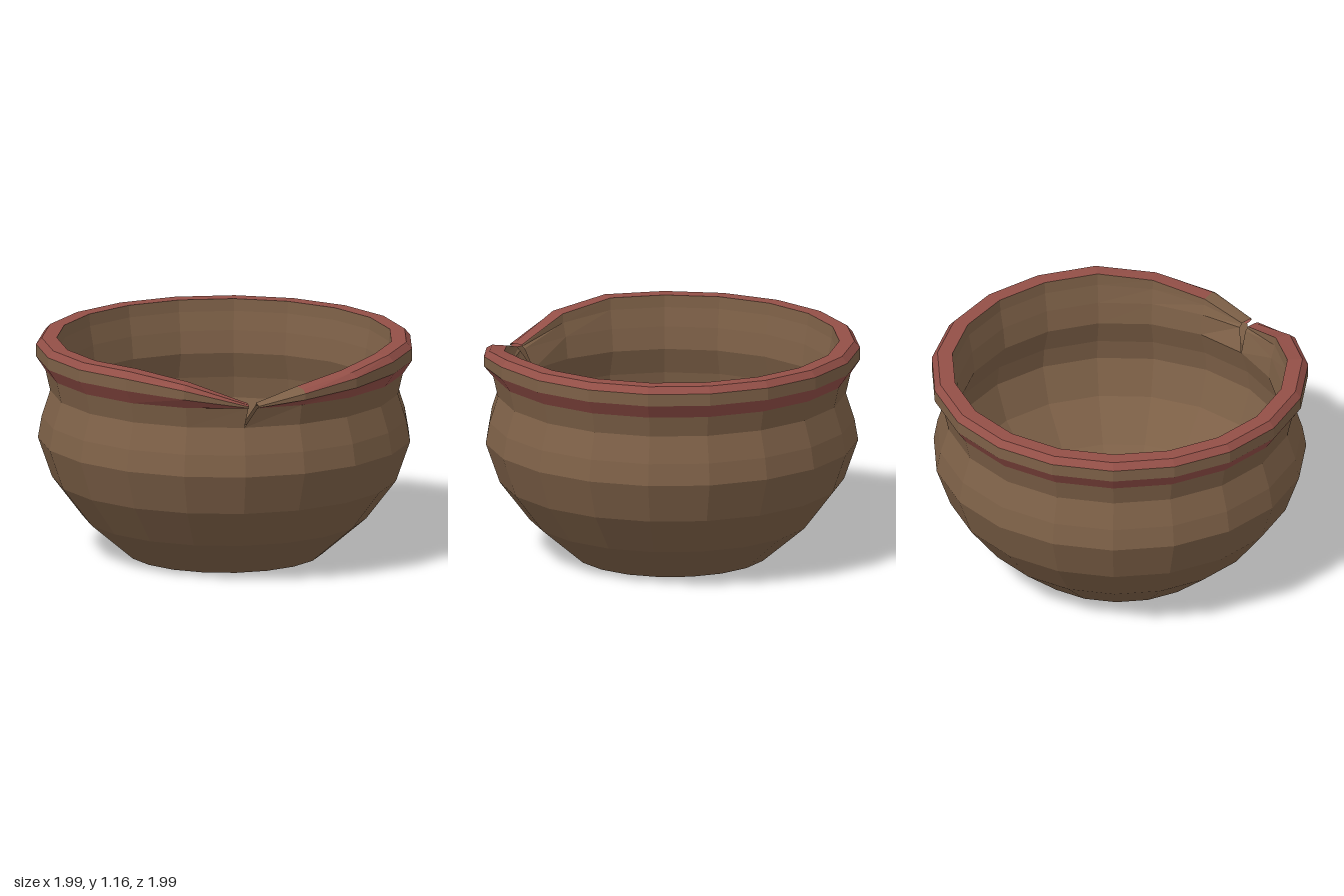
import * as THREE from 'three';

const SIDES = 19;
const STEP = (Math.PI * 2) / SIDES;
// how far the rim has broken down at each side
const CHIP = { 2: 0.3, 3: 1, 4: 0.55, 5: 0.22 };

const clay = new THREE.MeshStandardMaterial({ color: 0x7d6047, flatShading: true, side: THREE.DoubleSide });
clay.name = 'brown clay';
const paint = new THREE.MeshStandardMaterial({ color: 0x934f47, flatShading: true, side: THREE.DoubleSide });
paint.name = 'red paint';

// One point of the pot: a profile radius and height turned to side i.
function point([r, y], i, startsCrack) {
  let a = (i % SIDES) * STEP;
  const f = CHIP[i % SIDES] || 0;
  if (y > 0.95 && f) {
    y += (0.99 + (y - 0.99) * 0.12 - y) * f;
    if (i === 3) {
      r += (0.95 - r) * 0.35;
      a += startsCrack ? 0.07 : 0.02; // the crack opens between its two lips
    }
  }
  return [r * Math.sin(a), y, r * Math.cos(a) - 0.007];
}

// Faceted band through the given profile points, for sides chosen by the filter.
function band(name, profile, material, keep = () => true) {
  const pos = [];
  for (let j = 0; j < profile.length - 1; j++) {
    for (let i = 0; i < SIDES; i++) {
      if (!keep(i)) continue;
      const a = point(profile[j], i, i === 3);
      const b = point(profile[j], i + 1);
      const c = point(profile[j + 1], i + 1);
      const d = point(profile[j + 1], i, i === 3);
      pos.push(...a, ...b, ...c, ...a, ...c, ...d);
    }
  }
  const geo = new THREE.BufferGeometry();
  geo.setAttribute('position', new THREE.Float32BufferAttribute(pos, 3));
  geo.computeVertexNormals();
  const mesh = new THREE.Mesh(geo, material);
  mesh.name = name;
  return mesh;
}

// Flat disc with a corner at the front, matching the wall facets.
function disc(name, r, y, down) {
  const geo = new THREE.CircleGeometry(r, SIDES);
  geo.rotateZ(-Math.PI / 2);
  geo.rotateX(-Math.PI / 2);
  if (down) geo.rotateZ(Math.PI);
  geo.translate(0, y, -0.007);
  const mesh = new THREE.Mesh(geo, clay);
  mesh.name = name;
  return mesh;
}

export function createModel() {
  const pot = new THREE.Group();
  pot.name = 'brokenPot';
  const whole = (i) => i !== 3;
  const broken = (i) => i === 3;

  // outside wall and base
  pot.add(
    disc('base', 0.52, 0, true),
    band('outerWall', [
      [0.52, 0], [0.755, 0.2], [0.915, 0.41], [0.99, 0.625],
      [0.97, 0.74], [0.925, 0.88], [0.95, 0.99],
    ], clay),
  );

  // rim: painted underside, plain edge, painted top
  const rimTop = [[1, 1.13], [0.97, 1.165], [0.89, 1.165]];
  pot.add(
    band('rimUnderside', [[0.95, 0.99], [1, 1.065]], paint),
    band('rimEdge', [[1, 1.065], [1, 1.13]], clay),
    band('rimTop', rimTop, paint, whole),
    band('rimBreak', rimTop, clay, broken),
  );

  // inside wall and floor
  pot.add(
    band('innerWall', [
      [0.89, 1.165], [0.885, 1.1], [0.865, 1.0], [0.85, 0.88], [0.895, 0.74],
      [0.91, 0.625], [0.84, 0.43], [0.675, 0.23], [0.49, 0.08], [0.455, 0.05],
    ], clay),
    disc('floor', 0.455, 0.05, false),
  );
  return pot;
}
